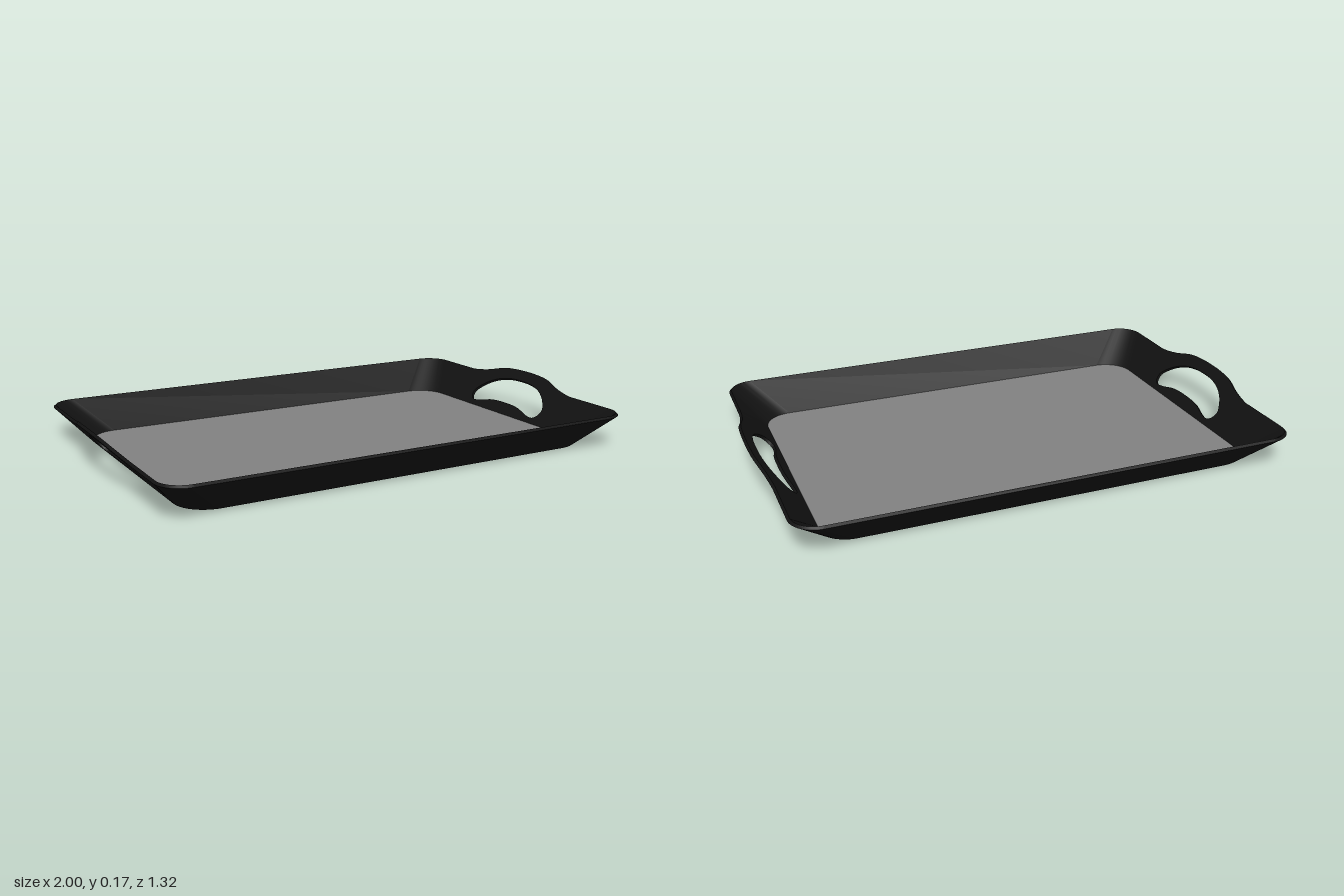
import * as THREE from 'three';
import { mergeGeometries, toCreasedNormals } from 'three/addons/utils/BufferGeometryUtils.js';

const BASE = { x: 0.845, z: 0.55, r: 0.12 };  // outer outline at y = 0
const RIM = { x: 0.96, z: 0.66, r: 0.10 };    // outer outline at the rim
const RIM_Y = 0.125;
const IN = 0.009, UP = 0.008;                 // wall thickness, measured inward and upward
const SLOPE = (RIM.x - BASE.x) / RIM_Y;

const v2 = (pts) => pts.map(([x, y]) => new THREE.Vector2(x, y));
const mirrored = (pts) => [...pts, ...pts.slice(0, -1).reverse().map(([x, y]) => [-x, y])];

// Rounded rectangle for the floor
function roundedRect(hx, hz, r) {
  const s = new THREE.Shape();
  s.absarc(hx - r, hz - r, r, 0, Math.PI / 2);
  s.absarc(-hx + r, hz - r, r, Math.PI / 2, Math.PI);
  s.absarc(-hx + r, -hz + r, r, Math.PI, Math.PI * 1.5);
  s.absarc(hx - r, -hz + r, r, Math.PI * 1.5, Math.PI * 2);
  s.closePath();
  return s;
}

// End wall: flat panel with raised grip and curved hand hole, leaned outward
function endWall() {
  const zb = BASE.z - BASE.r, zt = RIM.z - RIM.r;
  const s = new THREE.Shape();
  s.moveTo(-zb, 0);
  s.lineTo(zb, 0);
  s.lineTo(zt, RIM_Y);
  s.lineTo(0.33, RIM_Y);
  s.splineThru(v2(mirrored([[0.29, 0.129], [0.23, 0.139], [0.15, 0.158], [0.08, 0.165], [0, 0.167]])));
  s.lineTo(-0.33, RIM_Y);
  s.lineTo(-zt, RIM_Y);
  s.closePath();

  const upper = mirrored([[0.232, 0.052], [0.215, 0.072], [0.18, 0.096], [0.13, 0.116], [0.07, 0.127], [0, 0.13]]);
  const lower = mirrored([[0.225, 0.031], [0.205, 0.02], [0.165, 0.022], [0.09, 0.037], [0, 0.041]]).reverse();
  const curve = new THREE.CatmullRomCurve3(
    [...upper, ...lower].map(([x, y]) => new THREE.Vector3(x, y, 0)), true);
  s.holes.push(new THREE.Path(curve.getPoints(72).slice(0, -1).map((p) => new THREE.Vector2(p.x, p.y))));

  const g = new THREE.ExtrudeGeometry(s, { depth: 1, bevelEnabled: false, curveSegments: 32 });
  const p = g.attributes.position;
  for (let i = 0; i < p.count; i++) {
    const u = p.getX(i), v = p.getY(i), w = p.getZ(i);
    p.setXYZ(i, BASE.x + SLOPE * v - IN * w, v + UP * w, u);
  }
  g.deleteAttribute('uv');
  g.deleteAttribute('normal');
  return g;
}

// Long wall with its two rounded corners: four-point section swept along the outline
function longWall() {
  const N = 14, rows = [];
  for (const side of [1, -1]) {
    for (let i = 0; i <= N; i++) {
      const a = (i / N) * Math.PI / 2 + (side < 0 ? Math.PI / 2 : 0);
      const c = Math.cos(a), s = Math.sin(a);
      const at = (o, y, w) => [
        side * (o.x - o.r) + c * (o.r - IN * w), y + UP * w, o.z - o.r + s * (o.r - IN * w)];
      rows.push([at(BASE, 0, 0), at(RIM, RIM_Y, 0), at(RIM, RIM_Y, 1), at(BASE, 0, 1)]);
    }
  }
  const pos = [];
  for (let i = 0; i < rows.length - 1; i++) {
    for (let k = 0; k < 4; k++) {
      const n = (k + 1) % 4;
      const a = rows[i][k], b = rows[i][n], c = rows[i + 1][n], d = rows[i + 1][k];
      pos.push(...a, ...b, ...c, ...a, ...c, ...d);
    }
  }
  const g = new THREE.BufferGeometry();
  g.setAttribute('position', new THREE.Float32BufferAttribute(pos, 3));
  return g;
}

export function createModel() {
  const group = new THREE.Group();
  group.name = 'servingTray';

  // Sloped walls, mirrored front/back and left/right
  const parts = [endWall(), longWall()];
  const all = [...parts, ...parts.map((g) => g.clone().rotateY(Math.PI))];
  const walls = new THREE.Mesh(
    toCreasedNormals(mergeGeometries(all), 0.6),
    new THREE.MeshStandardMaterial({ color: 0x111111 }));
  walls.name = 'wallsWithHandles';
  group.add(walls);

  // Floor slab
  const floorGeo = new THREE.ExtrudeGeometry(
    roundedRect(BASE.x - 0.004, BASE.z - 0.004, BASE.r - 0.004),
    { depth: UP, bevelEnabled: false, curveSegments: 14 });
  floorGeo.rotateX(-Math.PI / 2);
  const floor = new THREE.Mesh(floorGeo, new THREE.MeshStandardMaterial({ color: 0x808080 }));
  floor.name = 'floor';
  group.add(floor);

  return group;
}
